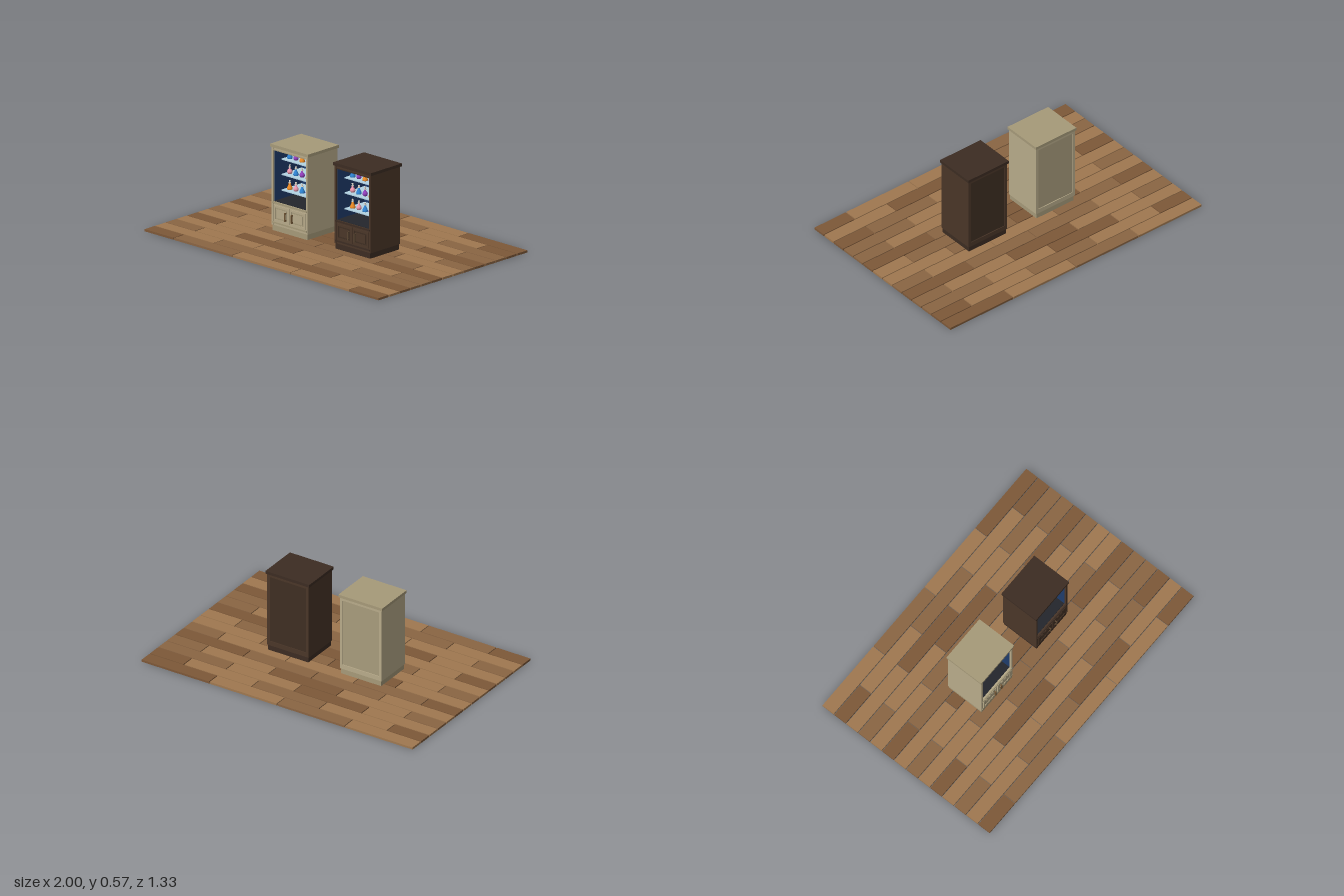
import * as THREE from 'three';

const mat = (color) => new THREE.MeshStandardMaterial({ color });

function box(parent, name, material, w, h, d, x, y, z) {
  const m = new THREE.Mesh(new THREE.BoxGeometry(w, h, d), material);
  m.name = name;
  m.position.set(x, y, z);
  parent.add(m);
  return m;
}

// Staggered plank floor with small gaps
function createFloor() {
  const floor = new THREE.Group();
  floor.name = 'plankFloor';
  const woods = [0xa07850, 0x8a6543, 0x7d5838].map(mat);
  const pattern = ['0102', '20102', '0201', '10201', '0112', '21001', '0210',
    '10210', '0112', '20101', '0201', '10012', '0120', '21002'];
  const pitch = 1.334 / 14, gap = 0.006;
  pattern.forEach((row, r) => {
    const odd = r % 2;
    [...row].forEach((c, i) => {
      const a = Math.max(-1, -1 + (i - odd * 0.5) * 0.5);
      const b = Math.min(1, -1 + (i + 1 - odd * 0.5) * 0.5);
      const x0 = a === -1 ? a : a + gap / 2, x1 = b === 1 ? b : b - gap / 2;
      box(floor, 'plank', woods[+c], x1 - x0, 0.014, pitch - gap,
        (x0 + x1) / 2, 0.007, -0.667 + (r + 0.5) * pitch);
    });
  });
  return floor;
}

// Flask and stopper profiles
const flaskGeo = new THREE.LatheGeometry([[0, 0], [0.016, 0], [0.0175, 0.004], [0.0155, 0.014], [0.007, 0.032],
  [0.006, 0.042], [0, 0.042]].map(([x, y]) => new THREE.Vector2(x, y)), 14);
const roundGeo = new THREE.LatheGeometry([[0, 0], [0.011, 0], [0.016, 0.008], [0.0165, 0.016], [0.012, 0.026],
  [0.006, 0.031], [0.006, 0.042], [0, 0.042]].map(([x, y]) => new THREE.Vector2(x, y)), 14);
const collarGeo = new THREE.CylinderGeometry(0.008, 0.008, 0.004, 14);
const stopperGeo = new THREE.CylinderGeometry(0.0065, 0.005, 0.012, 12);
const liquids = [0x2f86d8, 0x9440c0, 0xf08c24, 0xf09ab0].map(mat);
const stopperMat = mat(0xe4ddd0);

function createBottle(index) {
  const bottle = new THREE.Group();
  bottle.name = 'bottle';
  const add = (name, geo, material, y) => {
    const m = new THREE.Mesh(geo, material);
    m.name = name;
    m.position.y = y;
    bottle.add(m);
  };
  add('flask', index % 2 ? roundGeo : flaskGeo, liquids[index % 4], 0);
  add('collar', collarGeo, stopperMat, 0.043);
  add('stopper', stopperGeo, stopperMat, 0.051);
  return bottle;
}

function createCabinet(name, colors) {
  const g = new THREE.Group();
  g.name = name;
  const body = mat(colors.body), trim = mat(colors.trim), panel = mat(colors.panel), metal = mat(colors.handle);
  const navy = mat(0x1f3c6c), glass = mat(0xb4d4e4), dark = mat(0x24262c);

  // Plinth, lower cupboard and crown
  box(g, 'plinth', trim, 0.296, 0.04, 0.258, 0, 0.034, 0);
  box(g, 'cupboard', body, 0.307, 0.15, 0.256, 0, 0.125, 0.002);
  box(g, 'crown', trim, 0.323, 0.019, 0.276, 0, 0.5635, -0.001);
  box(g, 'lintel', body, 0.307, 0.015, 0.262, 0, 0.5475, 0);

  // Side walls with navy lining
  for (const s of [-1, 1]) {
    box(g, 'sideWall', body, 0.0135, 0.505, 0.264, s * 0.14675, 0.3025, 0);
    box(g, 'sideLining', navy, 0.002, 0.34, 0.238, s * 0.139, 0.37, 0);
  }

  // Back: recessed panel inside a frame
  box(g, 'backPanel', panel, 0.29, 0.5, 0.006, 0, 0.3, -0.125);
  box(g, 'backLining', navy, 0.278, 0.34, 0.003, 0, 0.37, -0.12);
  for (const s of [-1, 1]) box(g, 'backStile', body, 0.02, 0.505, 0.012, s * 0.1435, 0.3025, -0.127);
  box(g, 'backTopRail', body, 0.27, 0.02, 0.012, 0, 0.545, -0.127);
  box(g, 'backBottomRail', body, 0.27, 0.03, 0.012, 0, 0.065, -0.127);

  // Display opening: floor, sill and glass shelves
  box(g, 'displayFloor', dark, 0.278, 0.004, 0.236, 0, 0.202, 0);
  box(g, 'sill', trim, 0.296, 0.01, 0.008, 0, 0.197, 0.131);
  box(g, 'displayTopTrim', trim, 0.28, 0.006, 0.006, 0, 0.538, 0.13);
  [0.463, 0.364, 0.262].forEach((y, r) => {
    box(g, 'shelf', glass, 0.276, 0.006, 0.18, 0, y - 0.003, -0.028);
    for (let i = 0; i < 5; i++) {
      const b = createBottle(i + 3 * r);
      b.position.set((i - 2) * 0.053, y, 0.02);
      g.add(b);
    }
  });

  // Framed doors with bracket handles
  box(g, 'lowerMoulding', trim, 0.296, 0.01, 0.006, 0, 0.068, 0.132);
  for (const s of [-1, 1]) {
    const door = new THREE.Group();
    door.name = 'door';
    door.position.set(s * 0.069, 0.13, 0.131);
    box(door, 'doorPanel', panel, 0.104, 0.076, 0.003, 0, 0, 0);
    for (const t of [-1, 1]) {
      box(door, 'doorRail', body, 0.132, 0.014, 0.007, 0, t * 0.045, 0.001);
      box(door, 'doorStile', body, 0.014, 0.076, 0.007, t * 0.059, 0, 0.001);
      box(door, 'handlePost', metal, 0.007, 0.006, 0.014, -s * 0.04, -0.005 + t * 0.023, 0.008);
    }
    box(door, 'raisedPanel', body, 0.082, 0.056, 0.003, 0, 0, 0.002);
    box(door, 'handleBar', metal, 0.009, 0.054, 0.006, -s * 0.04, -0.005, 0.0145);
    g.add(door);
  }
  return g;
}

export function createModel() {
  const model = new THREE.Group();
  model.name = 'displayCabinets';
  model.add(createFloor());
  const cream = createCabinet('creamCabinet', { body: 0xb8ab8a, trim: 0xa69a79, panel: 0xa89c7c, handle: 0x6b5030 });
  cream.position.x = -0.27;
  const brown = createCabinet('darkCabinet', { body: 0x4a3628, trim: 0x3c2c22, panel: 0x3f2e22, handle: 0x5a4632 });
  brown.position.x = 0.268;
  model.add(cream, brown);
  return model;
}
